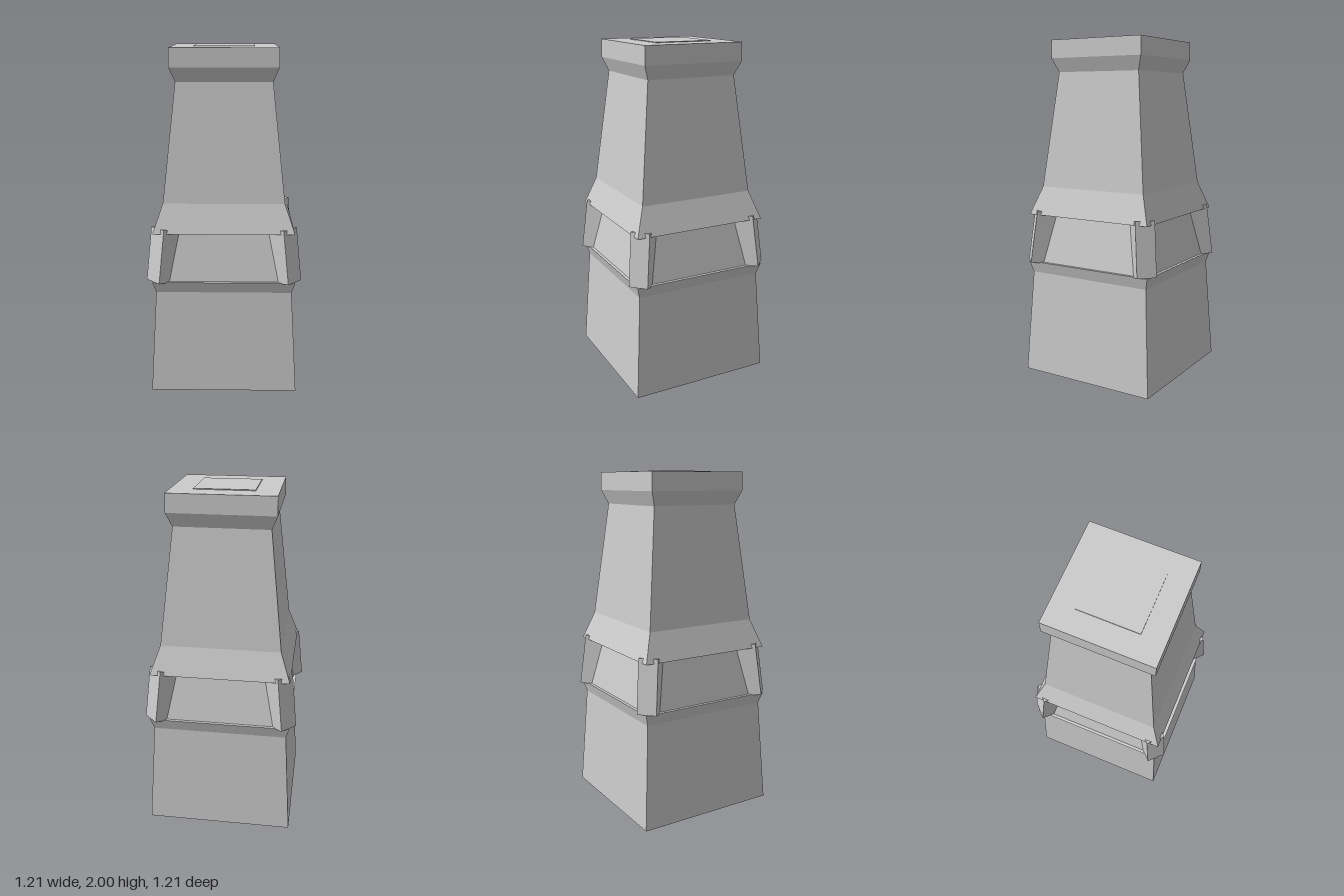
import * as THREE from 'three';

const stone = new THREE.MeshStandardMaterial({ color: 0xcccccc });
stone.name = 'grey stone';

// Four-sided turned solid, corners on the axes; profile is [corner radius, y] from bottom to top
function squareTurned(name, profile) {
  const points = profile.map(([r, y]) => new THREE.Vector2(r, y));
  const geometry = new THREE.LatheGeometry(points, 4).toNonIndexed();
  geometry.computeVertexNormals();
  const mesh = new THREE.Mesh(geometry, stone);
  mesh.name = name;
  return mesh;
}

export function createModel() {
  const model = new THREE.Group();
  model.name = 'squareTower';

  // Tapered base with a flared rim
  model.add(squareTurned('base', [[0, 0], [0.607, 0], [0.555, 0.615], [0.582, 0.682], [0, 0.682]]));

  // Recessed wall between rim and eave
  model.add(squareTurned('recessedWall', [[0.557, 0.68], [0.473, 0.972]]));

  // Upper shaft: eave, taper and flared cap
  model.add(squareTurned('upperShaft', [
    [0, 0.97], [0.572, 0.97], [0.49, 1.135], [0.383, 1.81], [0.428, 1.89], [0.426, 1.995], [0, 1.995],
  ]));

  // Thin raised panel on the roof
  model.add(squareTurned('roofPanel', [[0.242, 1.995], [0.242, 2], [0, 2]]));

  // Leaning corner posts
  const bottom = new THREE.Vector2(0.577, 0.685), top = new THREE.Vector2(0.533, 0.996);
  const length = bottom.distanceTo(top), depth = 0.13;
  const postGeometry = new THREE.BoxGeometry(depth, length, 0.112);
  postGeometry.translate(-depth / 2, length / 2, 0);
  postGeometry.rotateZ(Math.atan2(bottom.x - top.x, top.y - bottom.y));
  postGeometry.translate(bottom.x, bottom.y, 0);
  for (let i = 0; i < 4; i++) {
    const post = new THREE.Mesh(postGeometry, stone);
    post.name = 'cornerPost' + (i + 1);
    post.rotation.y = i * Math.PI / 2;
    model.add(post);
  }
  return model;
}
